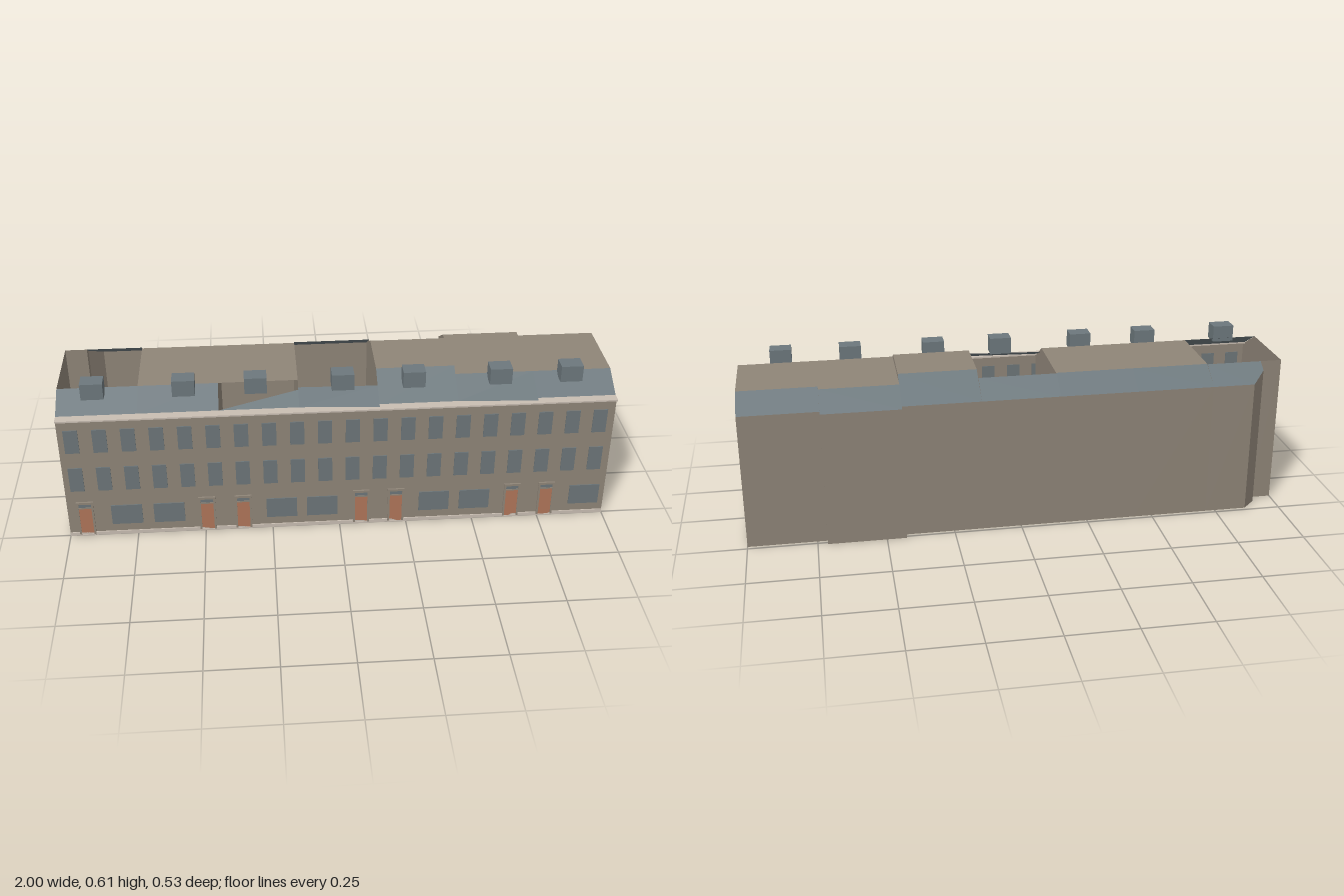
import * as THREE from 'three';

const mat = (name, color, side = THREE.FrontSide) => {
  const m = new THREE.MeshStandardMaterial({ color, side });
  m.name = name;
  return m;
};

export function createModel() {
  const root = new THREE.Group();
  root.name = 'terraceRow';
  const brick = mat('brick', 0x8f8578, THREE.DoubleSide);
  const slate = mat('slate', 0x6d787d, THREE.DoubleSide);
  const glass = mat('windowGrey', 0x6d7679);
  const wood = mat('doorWood', 0xb0765a);
  const stone = mat('paleStone', 0xc9beb2);

  // Flat polygons, each fanned out from its first corner
  const panels = (name, polys, material, parent) => {
    const pos = [];
    for (const p of polys)
      for (let i = 1; i < p.length - 1; i++) pos.push(...p[0], ...p[i], ...p[i + 1]);
    const g = new THREE.BufferGeometry();
    g.setAttribute('position', new THREE.Float32BufferAttribute(pos, 3));
    g.computeVertexNormals();
    const m = new THREE.Mesh(g, material);
    m.name = name;
    parent.add(m);
  };
  const box = (name, w, h, d, x, y, z, material, parent) => {
    const m = new THREE.Mesh(new THREE.BoxGeometry(w, h, d), material);
    m.name = name;
    m.position.set(x, y, z);
    parent.add(m);
  };

  const FRONT = 0.25, EAVE = 0.505, FOOT = 0.23;
  const W = 2 / 7;

  // One entry per house, from -x to +x
  const houses = [
    { zb: -0.15, open: true, notch: true },
    { zb: -0.145 },
    { zb: -0.145, broken: true },
    { zb: -0.15, open: true, skew: 0.018, ridge: [[0.15, 0.542], [0.165, 0.546]] },
    { zb: -0.107, zf: 0.103, top: 0.581 },
    { zb: -0.168, back: -0.262, skew: 0.018 },
    { zb: -0.14 },
  ];

  houses.forEach((h, i) => {
    const { zb, zf = 0.133, top = 0.563, back = -0.235, skew = 0 } = h;
    const a = -1 + i * W, b = a + W;
    const house = new THREE.Group();
    house.name = 'house' + (i + 1);
    root.add(house);

    // Side wall following the roof profile
    const side = (x, bk) => {
      const p = [[x, EAVE, FOOT], [x, top, zf], [x, top, zb]];
      if (bk < zb) p.push([x, EAVE, bk]);
      return [...p, [x, 0, bk], [x, 0, FRONT], [x, EAVE, FRONT]];
    };
    // Plan of the back wall as x, z, wall height, running from a to b
    const plan = h.notch
      ? [[a, zb, top], [-0.92, zb, top], [-0.92, -0.185, 0.539], [-0.87, back, EAVE], [b, back, EAVE]]
      : [[a, back, EAVE], [b, back, EAVE]];

    const walls = [
      side(a, h.notch ? zb : back), side(b, back),
      [[a, 0, FRONT], [b, 0, FRONT], [b, EAVE, FRONT], [a, EAVE, FRONT]],
      [[b, 0, FRONT], [a, 0, FRONT], ...plan.map(([x, z]) => [x, 0, z])],
    ];
    for (let k = 0; k < plan.length - 1; k++) {
      const [p, q] = [plan[k], plan[k + 1]];
      walls.push([[q[0], 0, q[1]], [p[0], 0, p[1]], [p[0], p[2], p[1]], [q[0], q[2], q[1]]]);
    }
    panels('walls', walls, brick, house);

    // Flat top, left off where the house is open
    if (!h.open)
      panels('flatRoof', [[[a, top, zf], [b, top, zf], [b, top, zb], [a, top, zb]]], brick, house);

    // Front slope, with the damaged one reduced to a triangle
    const [l, r] = h.ridge || [[zf, top], [zf, top]];
    const footL = [a, EAVE + 0.002, FOOT], footR = [b, EAVE + 0.002, FOOT + skew];
    const front = h.broken
      ? [footL, footR, [b, 0.541, 0.165]]
      : [footL, footR, [b, r[1], r[0]], [a, l[1], l[0]]];
    // Back slope, meeting the back wall
    const rear = [[b, top, zb], ...(h.notch ? plan.slice(1) : plan).map(([x, z, y]) => [x, y, z])
      .reverse()];
    if (!h.notch) rear.push([a, top, zb]);
    panels('roofSlopes', [front, rear], slate, house);
  });

  // Cornice and plinth
  box('cornice', 2, 0.006, 0.035, 0, 0.504, 0.2475, stone, root);
  box('plinth', 2, 0.014, 0.005, 0, 0.007, 0.2515, stone, root);

  // Chimneys
  for (const x of [-0.87, -0.55, -0.295, 0.016, 0.272, 0.585, 0.842])
    box('chimney', 0.08, 0.062, 0.06, x, 0.58, 0.165, slate, root);

  // Two rows of upper windows
  for (let i = 0; i < 20; i++) {
    const x = -0.953 + i * 0.1;
    box('topWindow', 0.051, 0.095, 0.006, x, 0.4125, FRONT + 0.001, glass, root);
    box('middleWindow', 0.051, 0.1, 0.006, x, 0.25, FRONT + 0.001, glass, root);
  }

  // Wide ground floor windows
  for (const x of [-0.785, -0.63, -0.215, -0.065, 0.353, 0.505, 0.923])
    box('groundWindow', 0.113, 0.083, 0.006, x, 0.088, FRONT + 0.001, glass, root);

  // Doors with frame, lintel and fanlight
  for (const x of [-0.935, -0.49, -0.357, 0.08, 0.21, 0.647, 0.777]) {
    const door = new THREE.Group();
    door.name = 'doorway';
    door.position.set(x, 0, FRONT);
    root.add(door);
    box('door', 0.046, 0.116, 0.006, 0, 0.064, 0.001, wood, door);
    box('fanlight', 0.046, 0.014, 0.005, 0, 0.133, 0.001, glass, door);
    for (const s of [-1, 1]) box('jamb', 0.007, 0.14, 0.01, s * 0.0265, 0.076, 0.001, brick, door);
    box('transom', 0.046, 0.005, 0.009, 0, 0.1235, 0.001, brick, door);
    box('lintel', 0.062, 0.009, 0.012, 0, 0.1455, 0.001, brick, door);
    box('doorStep', 0.06, 0.006, 0.01, 0, 0.003, 0.001, stone, door);
  }
  return root;
}
